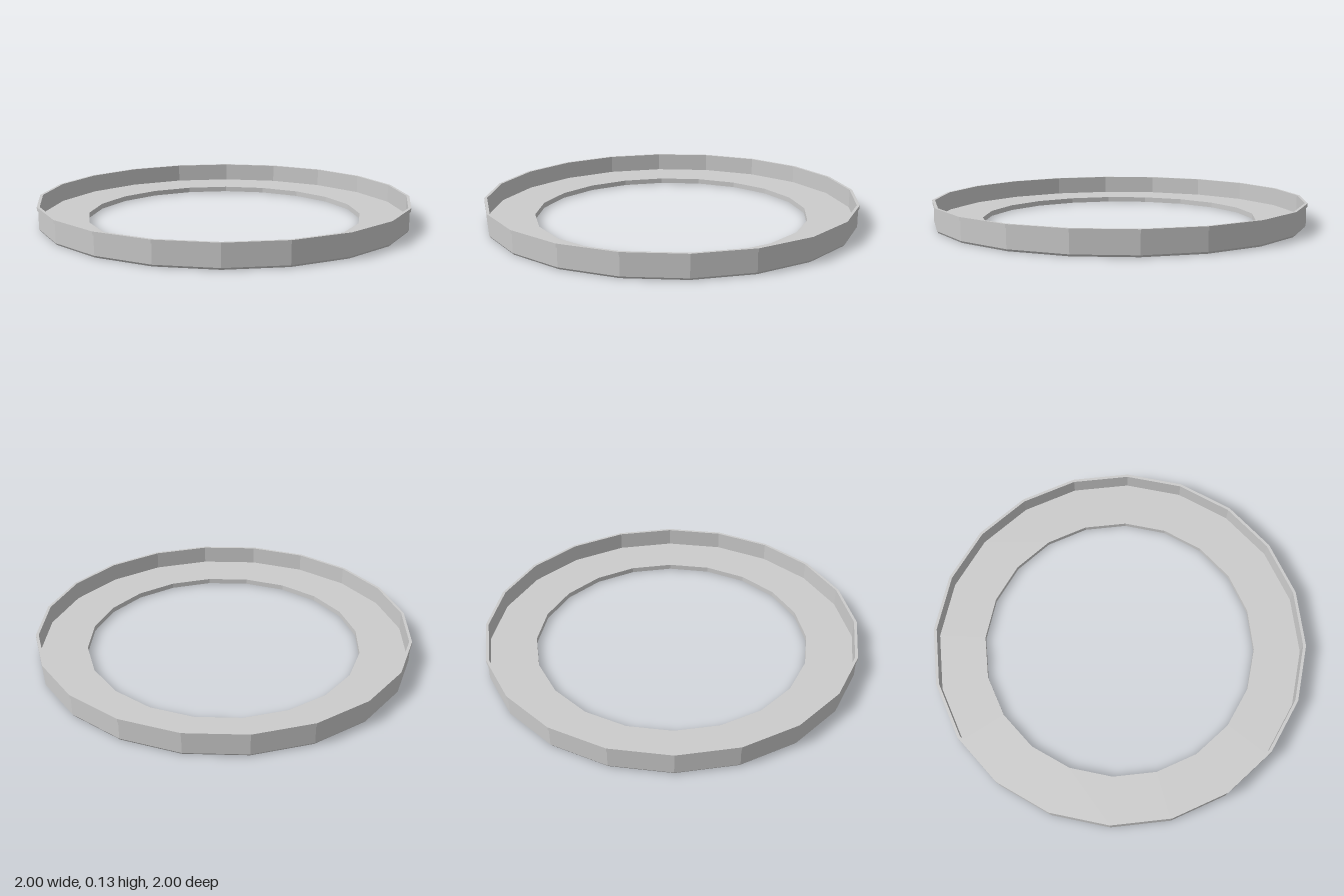
import * as THREE from 'three';

const SIDES = 20;

// Revolve a profile of [radius, y] points into a faceted ring
function ring(name, profile) {
  const points = profile.map(([r, y]) => new THREE.Vector2(r, y));
  const material = new THREE.MeshStandardMaterial({ color: 0xcccccc, flatShading: true });
  const mesh = new THREE.Mesh(new THREE.LatheGeometry(points, SIDES), material);
  mesh.name = name;
  return mesh;
}

export function createModel() {
  const group = new THREE.Group();
  group.name = 'ringTray';

  // Flat annular floor with an upright outer wall, bevelled at the foot
  group.add(ring('floorAndWall', [
    [0.985, 0.108], [0.985, 0.028], [0.735, 0.028], [0.735, 0],
    [0.986, 0], [0.993, 0.01], [0.993, 0.108],
  ]));

  // Slightly projecting lip on top of the wall
  group.add(ring('rimLip', [
    [0.993, 0.108], [1, 0.108], [1, 0.126], [0.985, 0.126], [0.985, 0.108],
  ]));

  return group;
}
